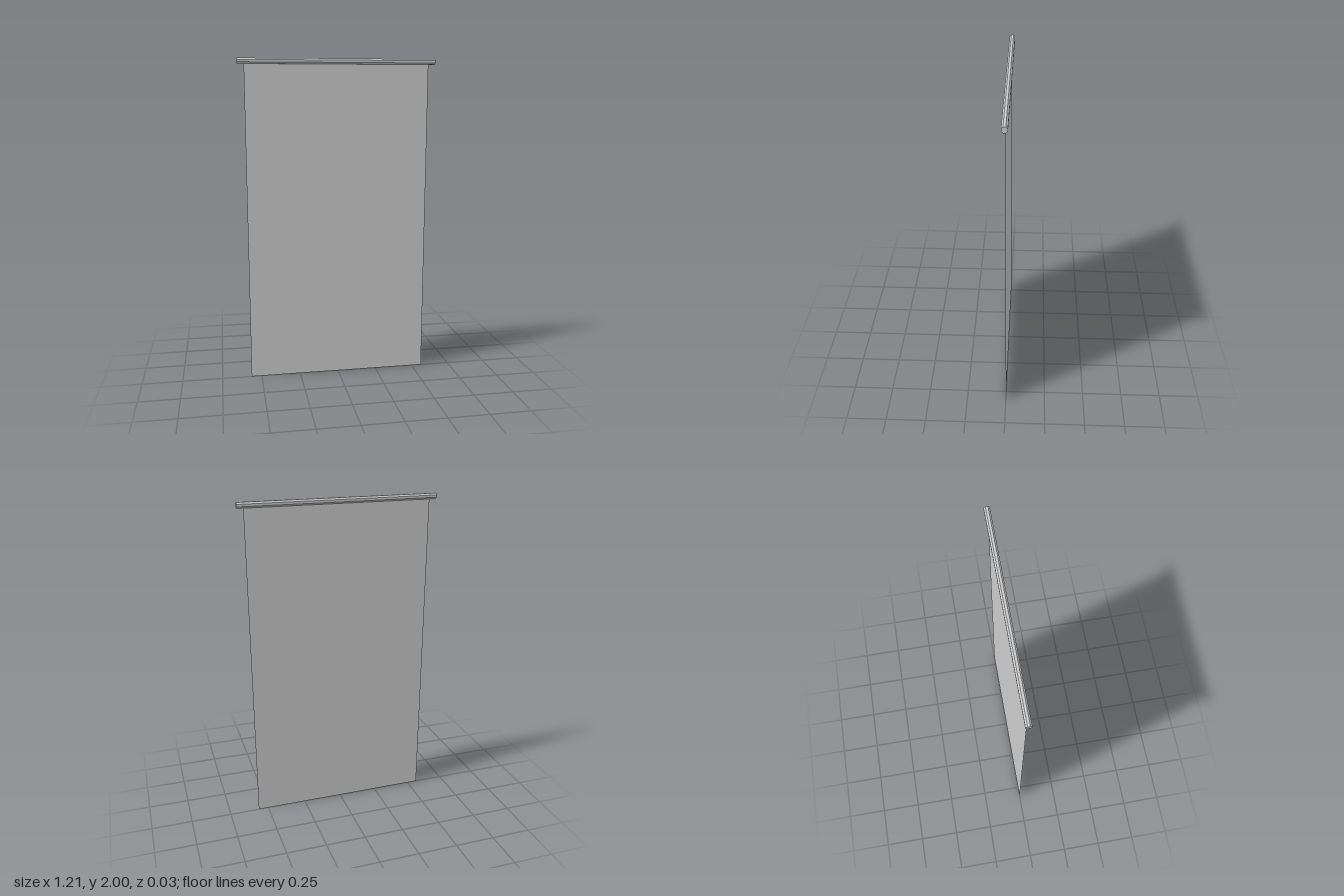
import * as THREE from 'three';

export function createModel() {
  const group = new THREE.Group();
  const radius = 0.018;
  const rodY = 2 - radius * Math.cos(Math.PI / 8);

  // Octagonal rod lying along x, with a flat side on top
  const rodGeometry = new THREE.CylinderGeometry(radius, radius, 1.21, 8);
  rodGeometry.rotateY(Math.PI / 8).rotateZ(Math.PI / 2);
  const rod = new THREE.Mesh(
    rodGeometry,
    new THREE.MeshStandardMaterial({ color: 0xcccccc, flatShading: true })
  );
  rod.name = 'rod';
  rod.position.y = rodY;
  group.add(rod);

  // Thin flat sheet hanging from the rod down to the ground
  const sheet = new THREE.Mesh(
    new THREE.PlaneGeometry(1.13, rodY),
    new THREE.MeshStandardMaterial({ color: 0xcccccc, side: THREE.DoubleSide })
  );
  sheet.name = 'hangingSheet';
  sheet.position.y = rodY / 2;
  group.add(sheet);

  return group;
}
